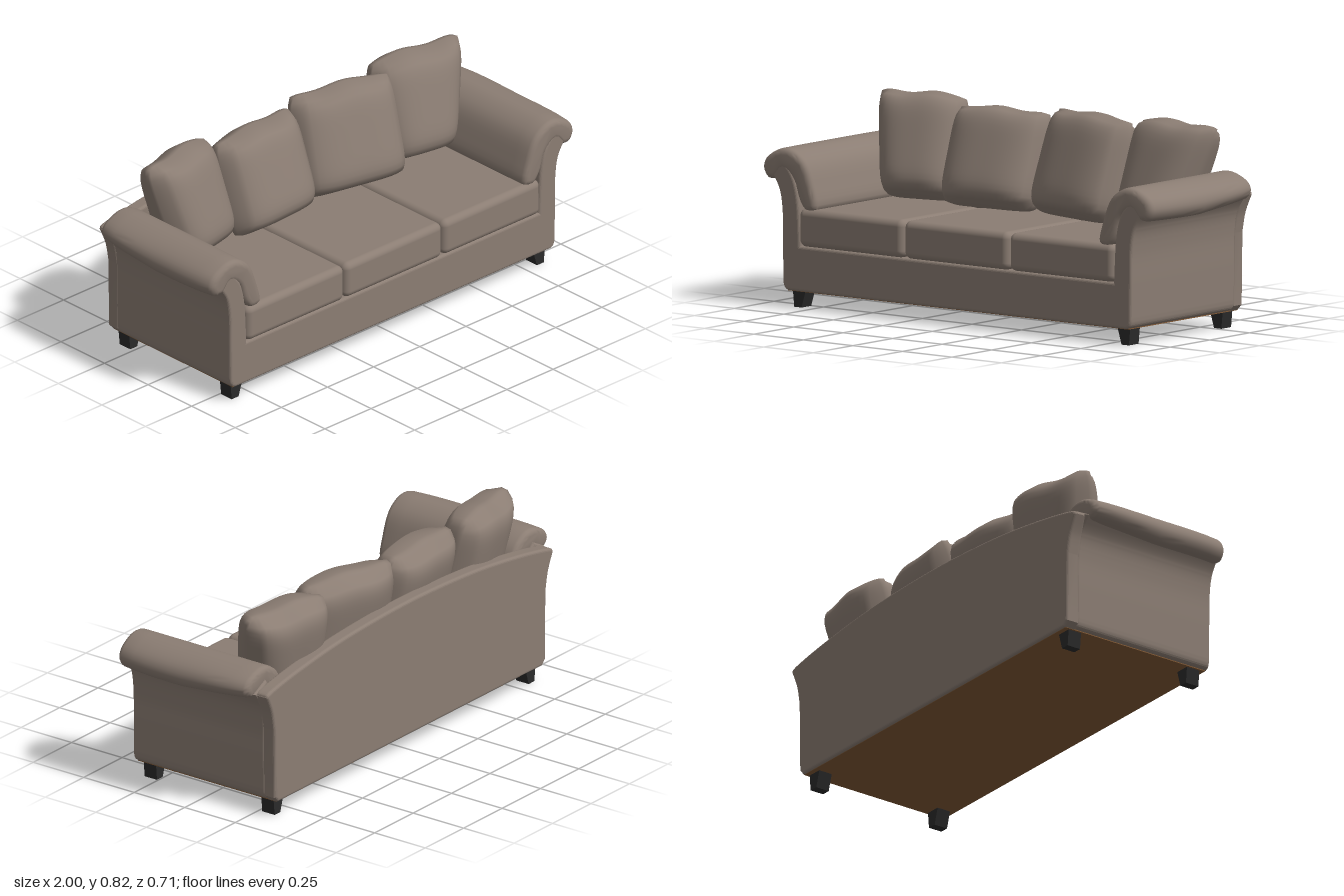
import * as THREE from 'three';
import { mergeVertices, toCreasedNormals } from 'three/addons/utils/BufferGeometryUtils.js';
import { RoundedBoxGeometry } from 'three/addons/geometries/RoundedBoxGeometry.js';

const fabric = new THREE.MeshStandardMaterial({ color: 0x8b7d73 });
fabric.name = 'taupe fabric';
const lining = new THREE.MeshStandardMaterial({ color: 0x825a36 });
lining.name = 'brown lining';
const legPaint = new THREE.MeshStandardMaterial({ color: 0x2a2a2a });
legPaint.name = 'black legs';

const vec = ([x, y]) => new THREE.Vector2(x, y);

// Extrudes an xy outline between two z values with rounded edges
function padded(shape, z0, z1, bevel, steps = 1) {
  const geo = new THREE.ExtrudeGeometry(shape, {
    depth: z1 - z0 - 2 * bevel, curveSegments: 8, steps,
    bevelEnabled: true, bevelSize: bevel, bevelThickness: bevel, bevelOffset: -bevel, bevelSegments: 4,
  });
  return geo.translate(0, 0, z0 + bevel);
}

// Lifts the underside of an arm pad towards its back and draws in its outer ends
function softenArm(geo) {
  const p = geo.attributes.position;
  for (let i = 0; i < p.count; i++) {
    const x = p.getX(i), y = p.getY(i), z = p.getZ(i);
    const out = THREE.MathUtils.smoothstep(Math.abs(x), 0.87, 0.96);
    const low = THREE.MathUtils.clamp((0.63 - y) / 0.13, 0, 1);
    const end = Math.abs((z - 0.027) / 0.323);
    const rear = THREE.MathUtils.clamp((0.05 - z) / 0.34, 0, 1);
    p.setX(i, x - Math.sign(x) * 0.018 * out * end ** 4);
    p.setY(i, y + out * low * (0.024 * rear - 0.006 * (1 - end)));
  }
  return geo;
}

// Soft cushion: thick in the middle, thin at the seam, with a slightly wavy edge
function pillowGeometry({ bottom, top, x, h, t, wave }) {
  let geo = new THREE.BoxGeometry(2, 2, 2, 18, 18, 2);
  geo.deleteAttribute('normal');
  geo.deleteAttribute('uv');
  geo = mergeVertices(geo);
  const p = geo.attributes.position;
  for (let i = 0; i < p.count; i++) {
    const u = p.getX(i), v = p.getY(i), w = p.getZ(i);
    const k = (v + 1) / 2;
    const left = THREE.MathUtils.lerp(bottom[0], top[0], k) - x;
    const right = THREE.MathUtils.lerp(bottom[1], top[1], k) - x;
    const uu = u * (1 - 0.08 * v ** 6);
    const vv = v * (1 - 0.06 * u ** 6);
    const puff = Math.sqrt((1 - Math.abs(u) ** 3) * (1 - v ** 6));
    const sag = 1 - 0.14 * v;
    p.setXYZ(i,
      THREE.MathUtils.lerp(left, right, (uu + 1) / 2),
      vv * h / 2 + 0.006 * k * Math.sin(u * 5 + wave),
      w * (0.014 + t / 2 * puff * sag));
  }
  geo.computeVertexNormals();
  return geo;
}

export function createModel() {
  const sofa = new THREE.Group();
  sofa.name = 'sofa';
  const add = (name, geo, mat, x = 0, y = 0, z = 0) => {
    const mesh = new THREE.Mesh(geo, mat);
    mesh.name = name;
    mesh.position.set(x, y, z);
    sofa.add(mesh);
    return mesh;
  };

  // Base and flared arm panels in one U-shaped outline
  const outer = [[0.88, 0.11], [0.882, 0.25], [0.884, 0.38], [0.9, 0.47], [0.945, 0.54]];
  const inner = [[0.87, 0.58], [0.825, 0.52], [0.8, 0.42], [0.79, 0.25]];
  const mirror = (pts) => pts.map(([x, y]) => [-x, y]).reverse();
  const frame = new THREE.Shape();
  frame.moveTo(-0.85, 0.068);
  frame.lineTo(0.85, 0.068);
  frame.quadraticCurveTo(0.88, 0.07, 0.88, 0.11);
  frame.splineThru(outer.slice(1).map(vec));
  frame.lineTo(...inner[0]);
  frame.splineThru(inner.slice(1).map(vec));
  frame.lineTo(-0.79, 0.25);
  frame.splineThru(mirror(inner).slice(1).map(vec));
  frame.lineTo(-0.945, 0.54);
  frame.splineThru(mirror(outer).slice(1).map(vec));
  frame.quadraticCurveTo(-0.88, 0.07, -0.85, 0.068);
  add('frame', toCreasedNormals(padded(frame, -0.308, 0.348, 0.012), 0.18), fabric);

  // Arched back panel
  const back = new THREE.Shape();
  back.moveTo(-0.86, 0.068);
  back.lineTo(0.86, 0.068);
  back.lineTo(0.88, 0.09);
  back.lineTo(0.884, 0.38);
  back.splineThru([[0.9, 0.46], [0.932, 0.535]].map(vec));
  back.splineThru([[0.9, 0.556], [0.7, 0.592], [0.4, 0.626], [0, 0.641],
    [-0.4, 0.626], [-0.7, 0.592], [-0.9, 0.556], [-0.932, 0.535]].map(vec));
  back.splineThru([[-0.9, 0.46], [-0.884, 0.38]].map(vec));
  back.lineTo(-0.88, 0.09);
  add('backPanel', toCreasedNormals(padded(back, -0.358, -0.296, 0.012), 0.18), fabric);

  // Rolled arm pads draped over the arm panels
  const roll = [[0.715, 0.4], [0.732, 0.49], [0.775, 0.585], [0.85, 0.63], [0.93, 0.62], [0.985, 0.585],
    [0.998, 0.545], [0.975, 0.508], [0.935, 0.508], [0.88, 0.545], [0.83, 0.51], [0.8, 0.43], [0.765, 0.39]];
  for (const side of [1, -1]) {
    const pts = roll.map(([x, y]) => new THREE.Vector3(x * side, y, 0));
    const smooth = new THREE.CatmullRomCurve3(pts, true).getPoints(52).slice(0, -1);
    const shape = new THREE.Shape(smooth.map((q) => new THREE.Vector2(q.x, q.y)));
    const pad = softenArm(padded(shape, -0.297, 0.35, 0.024, 10));
    add(side > 0 ? 'leftArmPad' : 'rightArmPad', toCreasedNormals(pad, 0.75), fabric);
  }

  // Three seat cushions
  for (const i of [-1, 0, 1]) {
    add('seatCushion', new RoundedBoxGeometry(0.529, 0.152, 0.655, 5, 0.028), fabric, i * 0.531, 0.324, 0.029);
  }

  // Four loose back pillows, leaning and turned a little
  const pillows = [
    { bottom: [-0.75, -0.415], top: [-0.82, -0.425], x: -0.62, h: 0.425, t: 0.2, wave: 0, z: -0.192, yaw: 0.2, lean: -0.25, y: 0.606 },
    { bottom: [-0.435, 0.005], top: [-0.435, 0.005], x: -0.215, h: 0.405, t: 0.2, wave: 2, z: -0.18, yaw: 0.07, lean: -0.3, y: 0.592 },
    { bottom: [-0.01, 0.475], top: [0, 0.465], x: 0.23, h: 0.425, t: 0.19, wave: 1, z: -0.175, yaw: -0.22, lean: -0.27, y: 0.602 },
    { bottom: [0.44, 0.76], top: [0.435, 0.872], x: 0.64, h: 0.425, t: 0.21, wave: 3, z: -0.19, yaw: -0.16, lean: -0.25, y: 0.606 },
  ];
  for (const d of pillows) {
    const pillow = add('backPillow', pillowGeometry(d), fabric, d.x, d.y, d.z);
    pillow.rotation.set(d.lean, d.yaw, 0, 'YXZ');
  }

  // Underside lining
  add('undersideLining', new THREE.BoxGeometry(1.72, 0.004, 0.685), lining, 0, 0.0685, -0.005);

  // Legs, tapering on the inner face
  for (const side of [1, -1]) {
    const leg = new THREE.Shape([[0.787, 0.07], [0.808, 0], [0.845, 0], [0.852, 0.07]].map(([x, y]) => new THREE.Vector2(x * side, y)));
    for (const z of [0.255, -0.327]) {
      add(z > 0 ? 'frontLeg' : 'backLeg', new THREE.ExtrudeGeometry(leg, { depth: 0.061, bevelEnabled: false }), legPaint, 0, 0, z);
    }
  }
  return sofa;
}
